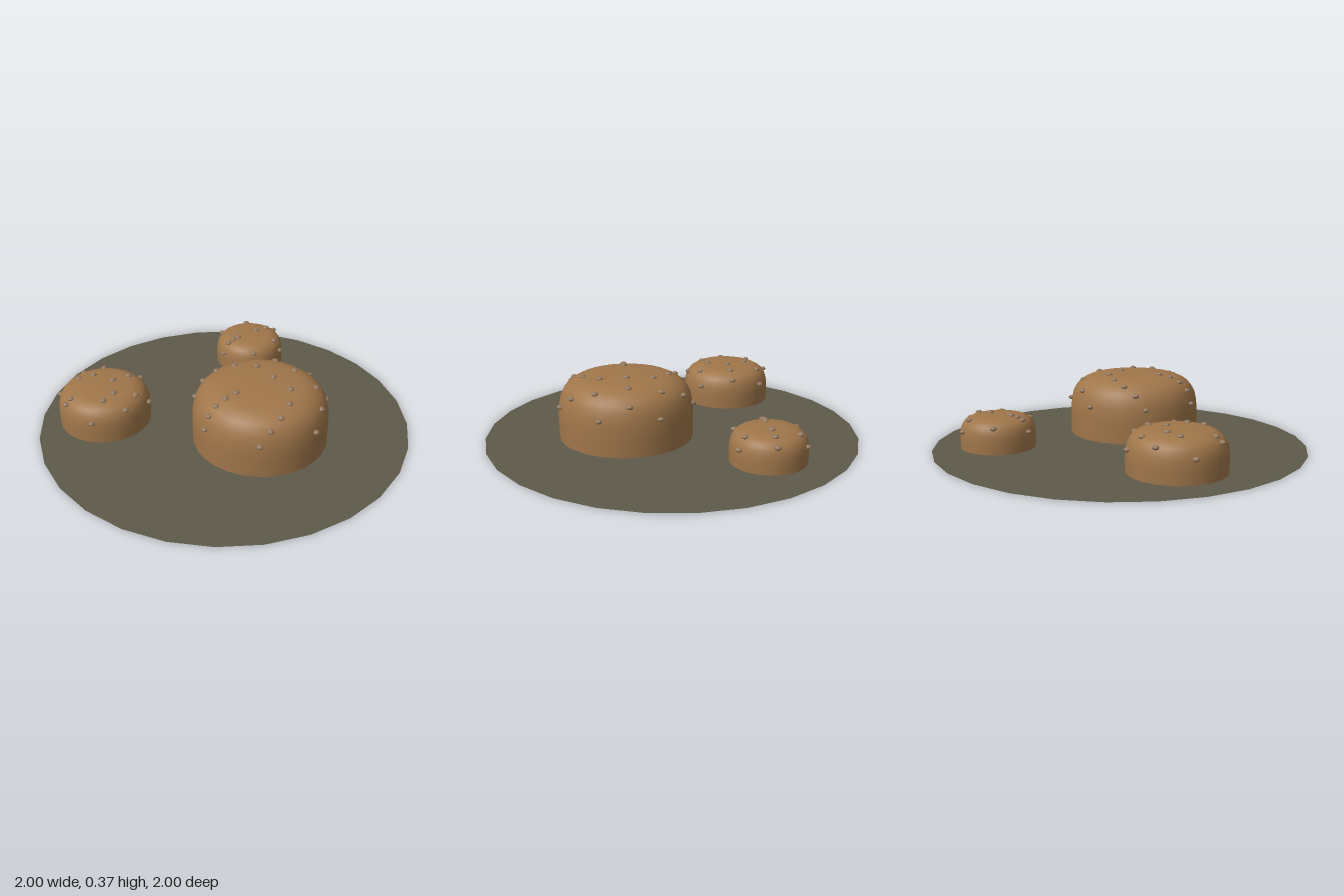
import * as THREE from 'three';

const bunMat = new THREE.MeshStandardMaterial({ color: 0xa0764a });
bunMat.name = 'baked crust';
const bumpMat = new THREE.MeshStandardMaterial({ color: 0x93795f });
bumpMat.name = 'pale bump';
const groundMat = new THREE.MeshStandardMaterial({ color: 0x5d594a, side: THREE.DoubleSide });
groundMat.name = 'dark olive';

// Each ring of bumps: [radius, height, count, start angle in degrees]
const mounds = [
  { name: 'largeMound', x: 0.05, z: 0.25, r: 0.357, h: 0.355,
    rings: [[0.08, 0.355, 1, 0], [0.16, 0.351, 3, 180], [0.225, 0.341, 4, 180],
      [0.283, 0.318, 5, 180], [0.328, 0.276, 6, 180], [0.354, 0.205, 7, 180]] },
  { name: 'mediumMound', x: -0.522, z: -0.385, r: 0.247, h: 0.234,
    rings: [[0.057, 0.234, 1, 0], [0.11, 0.231, 2, 90], [0.155, 0.225, 3, 0],
      [0.195, 0.21, 3, 180], [0.227, 0.185, 4, 0], [0.245, 0.14, 4, 45]] },
  { name: 'smallMound', x: 0.4975, z: -0.422, r: 0.197, h: 0.195,
    rings: [[0.048, 0.195, 1, 0], [0.087, 0.193, 1, 180], [0.125, 0.188, 2, 0],
      [0.157, 0.176, 3, 180], [0.182, 0.154, 3, 0], [0.194, 0.118, 3, 180]] },
];

// Flattened dome with straight lower wall
function domeGeometry({ r, h }) {
  const wall = [[0.996, 0.02 / h], [1, 0.3], [0.998, 0.45], [0.985, 0.58], [0.958, 0.7],
    [0.91, 0.79], [0.86, 0.85], [0.79, 0.9], [0.71, 0.94], [0.63, 0.963],
    [0.45, 0.987], [0.22, 0.997], [0, 1]];
  return new THREE.LatheGeometry(wall.map(([a, b]) => new THREE.Vector2(a * r, b * h)), 28);
}

// Shallow cone closing the underside
function baseGeometry({ r }) {
  return new THREE.LatheGeometry([new THREE.Vector2(0, 0), new THREE.Vector2(r * 0.996, 0.02)], 28);
}

const bumpGeo = new THREE.SphereGeometry(0.018, 10, 6).scale(1, 0.65, 1);

function buildMound(spec) {
  const mound = new THREE.Group();
  mound.name = spec.name;
  mound.position.set(spec.x, 0, spec.z);

  const dome = new THREE.Mesh(domeGeometry(spec), bunMat);
  dome.name = 'dome';
  const base = new THREE.Mesh(baseGeometry(spec), bunMat);
  base.name = 'underside';
  mound.add(dome, base);

  // Rings of small bumps
  for (const [radius, y, count, start] of spec.rings) {
    for (let i = 0; i < count; i++) {
      const a = THREE.MathUtils.degToRad(start + (i * 360) / count);
      const bump = new THREE.Mesh(bumpGeo, bumpMat);
      bump.name = 'bump';
      bump.position.set(Math.cos(a) * radius, y, Math.sin(a) * radius);
      mound.add(bump);
    }
  }
  return mound;
}

export function createModel() {
  const model = new THREE.Group();
  model.name = 'moundsOnDisc';

  // Thin ground disc
  const disc = new THREE.Mesh(new THREE.CircleGeometry(1, 28).rotateX(-Math.PI / 2), groundMat);
  disc.name = 'groundDisc';
  disc.position.y = 0.0006;
  model.add(disc);

  for (const spec of mounds) model.add(buildMound(spec));
  return model;
}
